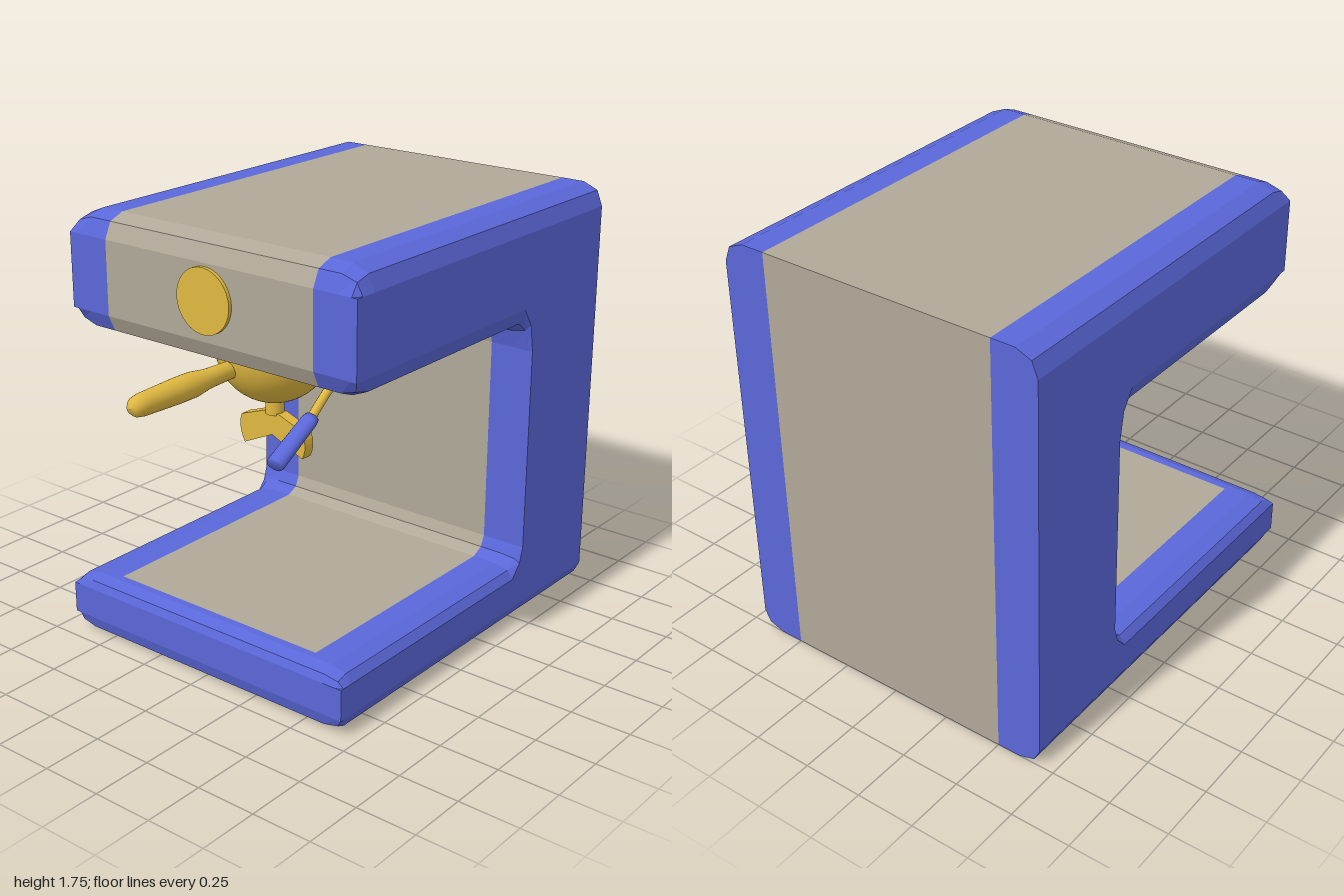
import * as THREE from 'three';

const BLUE = new THREE.MeshStandardMaterial({ color: 0x5a67d8 });
const GREY = new THREE.MeshStandardMaterial({ color: 0xb0a898 });
const GOLD = new THREE.MeshStandardMaterial({ color: 0xe0b840 });

function add(parent, name, geometry, material, x = 0, y = 0, z = 0) {
  const mesh = new THREE.Mesh(geometry, material);
  mesh.name = name;
  mesh.position.set(x, y, z);
  parent.add(mesh);
  return mesh;
}

// C-shaped side profile: z, y, shift of y at the side faces, and
// whether the strip starting at this point carries the grey panel
const PROFILE = [
  [-1, 0, 0.07, 0], [0.64, 0, 0.07, 0], [0.675, 0.02, 0.05, 0], [0.69, 0.07, 0, 0],
  [0.69, 0.2, 0, 0], [0.675, 0.23, -0.03, 0], [0.63, 0.25, -0.05, 0], [0.6, 0.25, -0.05, 1],
  [-0.45, 0.25, -0.05, 1], [-0.5, 0.275, -0.02, 1], [-0.52, 0.32, 0, 1],
  [-0.52, 1.17, 0, 1], [-0.5, 1.245, 0.04, 1], [-0.45, 1.27, 0.09, 1],
  [0.52, 1.27, 0.09, 1], [0.585, 1.295, 0.065, 1], [0.615, 1.36, 0, 1],
  [0.615, 1.66, 0, 1], [0.585, 1.725, -0.065, 1], [0.52, 1.75, -0.09, 1], [-1, 1.75, -0.09, 1],
];

// Cross-section positions across the width, with the share of the edge shift
const LAYERS = [
  [-0.69, 1], [-0.665, 0.3], [-0.6, 0], [-0.5, 0],
  [0.5, 0], [0.6, 0], [0.665, 0.3], [0.69, 1],
];

function buildBody(group) {
  const blue = [], grey = [];
  const point = (layer, i) => {
    const [x, share] = LAYERS[layer];
    const [z, y, shift] = PROFILE[i % PROFILE.length];
    return [x, y + shift * share, z];
  };
  // Skin between neighbouring cross-sections
  for (let l = 0; l < LAYERS.length - 1; l++) {
    for (let i = 0; i < PROFILE.length; i++) {
      const a = point(l, i), b = point(l, i + 1), c = point(l + 1, i + 1), d = point(l + 1, i);
      const target = l === 3 && PROFILE[i][3] ? grey : blue;
      target.push(...a, ...d, ...c, ...a, ...c, ...b);
    }
  }
  // Side faces
  const last = LAYERS.length - 1;
  const outline = PROFILE.map(([z, y, shift]) => new THREE.Vector2(z, y + shift));
  for (const [a, b, c] of THREE.ShapeUtils.triangulateShape(outline, [])) {
    blue.push(...point(0, a), ...point(0, b), ...point(0, c));
    blue.push(...point(last, a), ...point(last, c), ...point(last, b));
  }
  const toGeometry = (positions) => {
    const g = new THREE.BufferGeometry();
    g.setAttribute('position', new THREE.Float32BufferAttribute(positions, 3));
    g.computeVertexNormals();
    return g;
  };
  add(group, 'housing', toGeometry(blue), BLUE);
  add(group, 'centrePanel', toGeometry(grey), GREY);
}

function lathe(points, segments = 32) {
  return new THREE.LatheGeometry(points.map(([r, h]) => new THREE.Vector2(r, h)), segments);
}

export function createModel() {
  const model = new THREE.Group();
  model.name = 'coffeeMachine';
  buildBody(model);

  // Round dial on the head
  add(model, 'dial', new THREE.CylinderGeometry(0.127, 0.127, 0.03, 48), GOLD, 0, 1.52, 0.615)
    .rotation.x = Math.PI / 2;

  // Brewing bowl with handle and double spout
  const brewer = new THREE.Group();
  brewer.name = 'brewer';
  model.add(brewer);
  add(brewer, 'bowl', new THREE.SphereGeometry(0.228, 40, 20, 0, Math.PI * 2, Math.PI / 2, Math.PI / 2),
    GOLD, 0.025, 1.27, 0.26);
  add(brewer, 'handle', lathe([
    [0, 0.4], [0.032, 0.4], [0.038, 0.6], [0.049, 0.68], [0.049, 0.76], [0.043, 0.94],
    [0.037, 0.975], [0.022, 0.994], [0, 1],
  ]), GOLD, -0.015, 1.212, 0).rotation.x = Math.PI / 2;
  add(brewer, 'spoutNeck', new THREE.CylinderGeometry(0.037, 0.037, 0.07, 24), GOLD, 0.025, 1.022, 0.26);

  const chevron = new THREE.Shape();
  chevron.moveTo(0.03, 0.905);
  chevron.lineTo(0.18, 0.84);
  chevron.quadraticCurveTo(0.21, 0.9, 0.175, 0.955);
  chevron.lineTo(0.065, 0.995);
  chevron.lineTo(-0.015, 0.995);
  chevron.lineTo(-0.125, 0.955);
  chevron.quadraticCurveTo(-0.145, 0.9, -0.11, 0.84);
  chevron.closePath();
  add(brewer, 'spout', new THREE.ExtrudeGeometry(chevron, { depth: 0.05, bevelEnabled: false, curveSegments: 6 }),
    GOLD, 0, 0, 0.235);

  // Steam lever: bent rod with a flattened tapering grip
  const lever = new THREE.Group();
  lever.name = 'steamLever';
  lever.position.x = 0.44;
  model.add(lever);
  const bend = new THREE.CatmullRomCurve3([
    new THREE.Vector3(0, 1.272, 0.27), new THREE.Vector3(0, 1.25, 0.42), new THREE.Vector3(0, 1.15, 0.56),
  ]);
  add(lever, 'leverRod', new THREE.TubeGeometry(bend, 16, 0.017, 12), GOLD);

  const start = new THREE.Vector3(0, 1.157, 0.547), end = new THREE.Vector3(0, 1.037, 0.757);
  const along = end.clone().sub(start);
  const grip = add(lever, 'leverGrip', lathe([
    [0, 0], [0.022, 0], [0.026, 0.02], [0.028, along.length() - 0.01],
    [0.025, along.length()], [0, along.length()],
  ], 24), BLUE, start.x, start.y, start.z);
  grip.quaternion.setFromUnitVectors(new THREE.Vector3(0, 1, 0), along.normalize());
  grip.scale.x = 1.3;

  return model;
}
